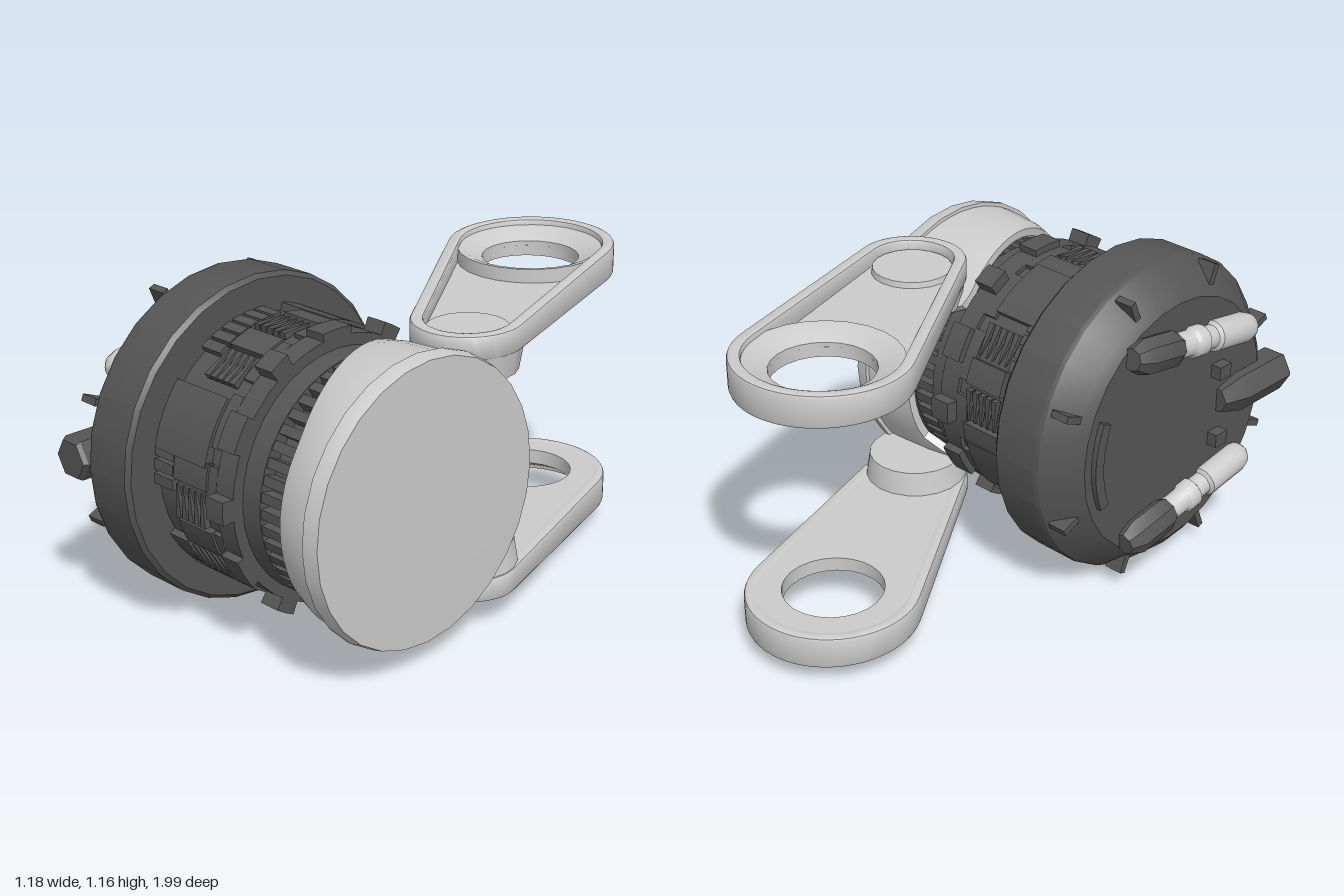
import * as THREE from 'three';
import { toCreasedNormals } from 'three/addons/utils/BufferGeometryUtils.js';

const light = new THREE.MeshStandardMaterial({ color: 0xcccccc });
const dark = new THREE.MeshStandardMaterial({ color: 0x555555 });
const TAU = Math.PI * 2;
const V = (pts) => pts.map(([r, x]) => new THREE.Vector2(r, x));

function add(parent, name, geo, mat, crease = 0.6) {
  const mesh = new THREE.Mesh(toCreasedNormals(geo, crease), mat);
  mesh.name = name;
  parent.add(mesh);
  return mesh;
}

// Profile of [radius, x] pairs turned about the x axis
const turn = (pts, sides) => new THREE.LatheGeometry(V(pts), sides).rotateZ(-Math.PI / 2);

// Curved block about the x axis; angle 0 faces +z, PI/2 faces up
function sector(r0, r1, mid, width, x0, x1) {
  const a = Math.PI - mid, h = width / 2;
  const s = new THREE.Shape();
  s.absarc(0, 0, r1, a - h, a + h, false);
  s.absarc(0, 0, r0, a + h, a - h, true);
  const g = new THREE.ExtrudeGeometry(s, { depth: x1 - x0, bevelEnabled: false, curveSegments: 4 });
  return g.rotateY(Math.PI / 2).translate(x0, 0, 0);
}

// Outline around a large and a small circle, inset by d
const A = new THREE.Vector2(0.03, -0.7), B = new THREE.Vector2(0.38, 0.02);
function armOutline(d, Type) {
  const dir = B.clone().sub(A), t = dir.angle();
  const a = Math.acos(0.11 / dir.length());
  const s = new Type();
  s.absarc(A.x, A.y, 0.3 - d, t + a, t - a + TAU, false);
  s.absarc(B.x, B.y, 0.19 - d, t - a, t + a, false);
  s.closePath();
  return s;
}

// Thin the arm towards its pivot end
function taper(geo) {
  const p = geo.attributes.position;
  for (let i = 0; i < p.count; i++) {
    const k = 1 - 0.33 * (p.getZ(i) + 1) / 1.2;
    p.setY(i, 0.39 + p.getY(i) * k);
  }
  return geo;
}

function makeArm(name) {
  const arm = new THREE.Group();
  arm.name = name;
  // Raised rim
  const rim = armOutline(0, THREE.Shape);
  rim.holes.push(armOutline(0.045, THREE.Path));
  add(arm, 'armRim', taper(new THREE.ExtrudeGeometry(rim, {
    depth: 0.096, bevelThickness: 0.012, bevelSize: 0.012, bevelOffset: -0.012, bevelSegments: 2, curveSegments: 14,
  }).rotateX(Math.PI / 2).translate(0, 0.108, 0)), light);
  // Pocket floor with the round eye
  const floor = armOutline(0.02, THREE.Shape);
  floor.holes.push(new THREE.Path().absarc(A.x, A.y, 0.175, 0, TAU, true));
  add(arm, 'armFloor', taper(new THREE.ExtrudeGeometry(floor, {
    depth: 0.04, bevelEnabled: false, curveSegments: 14,
  }).rotateX(Math.PI / 2).translate(0, 0.042, 0)), light);
  // Sloped collar around the eye
  const collar = new THREE.LatheGeometry(V([[0.265, 0.002], [0.265, 0.1], [0.24, 0.095], [0.175, 0.06], [0.175, 0.002], [0.265, 0.002]]), 24);
  add(arm, 'eyeCollar', taper(collar.translate(A.x, 0, A.y)), light);
  // Round pad over the pivot and lug under it
  add(arm, 'pivotPad', taper(new THREE.CylinderGeometry(0.14, 0.15, 0.07, 20).translate(B.x, 0.035, B.y)), light);
  add(arm, 'pivotLug', new THREE.CylinderGeometry(0.185, 0.17, 0.09, 20).translate(B.x, 0.35, B.y), light);
  return arm;
}

export function createModel() {
  const model = new THREE.Group();
  model.name = 'drumWithArms';
  const drum = new THREE.Group();
  drum.name = 'drum';
  drum.position.set(0, 0.58, 0.415);
  model.add(drum);

  // Chamfered flange and stepped core
  add(drum, 'flange', turn([[0, -0.505], [0.465, -0.505], [0.5, -0.48], [0.575, -0.395], [0.58, -0.38], [0.58, -0.21], [0.565, -0.195], [0, -0.195]], 28), dark, 0.35);
  add(drum, 'core', turn([[0.445, -0.2], [0.445, 0.1], [0.46, 0.1], [0.46, 0.18], [0.42, 0.18], [0.42, 0.26], [0.37, 0.26], [0.37, 0.36], [0.41, 0.36], [0.41, 0.5]], 36), dark);

  // Small blocks on the flange chamfer
  for (let i = 0; i < 8; i++) {
    const g = new THREE.BoxGeometry(0.07, 0.025, 0.08).translate(0, 0, 0.53);
    const block = add(drum, 'flangeBlock', g.translate(-0.445, 0, 0), dark);
    block.rotation.x = (i + 0.5) * TAU / 8;
  }

  // Ribs, fins and raised panels on the body
  for (let i = 0; i < 60; i++) {
    if (i % 10 < 6) add(drum, 'rib', sector(0.43, 0.468, i * TAU / 60, 0.08, -0.2, -0.105), dark);
  }
  for (let i = 0; i < 12; i++) {
    const a = i * TAU / 12 - 0.1;
    if (i % 3 !== 1) {
      for (let j = 0; j < 5; j++) {
        const fin = new THREE.CylinderGeometry(0.004, 0.017, 0.12, 4).rotateY(Math.PI / 4);
        fin.translate(-0.085 + j * 0.03, 0, 0.46);
        add(drum, 'fin', fin, dark).rotation.x = -a;
      }
      add(drum, 'panel', sector(0.43, 0.468, a + 0.26, 0.2, -0.1, 0.06), dark);
    } else {
      add(drum, 'panel', sector(0.43, 0.472, a + 0.05, 0.5, -0.2, 0.05), dark);
    }
    add(drum, 'bodyStrip', sector(0.43, 0.46, a + 0.15, 0.4, 0.05, 0.1), dark);
    // Lugs of the clamp ring
    add(drum, 'ringLug', sector(0.44, i % 2 ? 0.485 : 0.503, a + 0.1, i % 2 ? 0.26 : 0.16, 0.1, 0.18), dark);
  }

  // Gear teeth
  for (let i = 0; i < 46; i++) {
    add(drum, 'tooth', sector(0.36, 0.415, i * TAU / 46, 0.08, 0.255, 0.355), dark);
  }

  // Shroud whose edge reaches back towards the arm pivots
  const shroud = turn([[0.425, 1], [0.425, 0], [0.455, 0], [0.47, 0.3], [0.478, 0.75], [0.48, 1]], 56);
  const p = shroud.attributes.position;
  for (let i = 0; i < p.count; i++) {
    const c = p.getZ(i) / Math.hypot(p.getY(i), p.getZ(i));
    const edge = c < -0.7 ? Math.min(0.35, 0.2 + (-0.7 - c) * 1.0) : Math.min(0.39, 0.285 + 0.13 * c);
    p.setX(i, edge + (0.54 - edge) * p.getX(i));
  }
  add(drum, 'shroud', shroud, light, 0.7);
  add(drum, 'endCap', turn([[0, 0.53], [0.495, 0.53], [0.495, 0.545], [0.485, 0.585], [0, 0.588]], 28), light);

  // Raised arc and studs on the flange face
  add(drum, 'faceArc', sector(0.39, 0.43, Math.PI, 0.8, -0.525, -0.5), dark);
  for (const s of [-1, 1]) {
    add(drum, 'stud', new THREE.BoxGeometry(0.05, 0.05, 0.06).translate(-0.52, s * 0.135, 0.22), dark);

    // Slanted capsule: dark sleeve, light barrel with rings and ball tip
    const capsule = new THREE.Group();
    capsule.name = 'capsule';
    capsule.position.set(-0.525, s * 0.36, -0.27);
    capsule.rotation.x = s * 0.16;
    drum.add(capsule);
    add(capsule, 'sleeve', new THREE.LatheGeometry(V([[0, 0], [0.04, 0], [0.065, 0.05], [0.065, 0.2], [0.05, 0.23], [0, 0.23]]), 8).rotateX(Math.PI / 2), dark);
    add(capsule, 'barrel', new THREE.LatheGeometry(V([
      [0.045, 0.2], [0.045, 0.3], [0.055, 0.31], [0.055, 0.36], [0.042, 0.37], [0.042, 0.42],
      [0.055, 0.43], [0.055, 0.6], [0.045, 0.635], [0.025, 0.655], [0, 0.66]]), 16).rotateX(Math.PI / 2), light, 0.8);
  }

  // Hexagonal plug between the capsules
  const plug = new THREE.LatheGeometry(V([[0, 0], [0.05, 0], [0.08, 0.1], [0.08, 0.33], [0.07, 0.345], [0, 0.345]]), 6);
  add(drum, 'hexPlug', plug.rotateX(Math.PI / 2).rotateZ(Math.PI / 6).translate(-0.5, 0.005, 0.23), dark, 0.3);

  // Mirrored pair of arms
  for (const s of [1, -1]) {
    const arm = makeArm(s > 0 ? 'upperArm' : 'lowerArm');
    arm.position.y = 0.582;
    arm.scale.y = s;
    model.add(arm);
  }
  return model;
}
